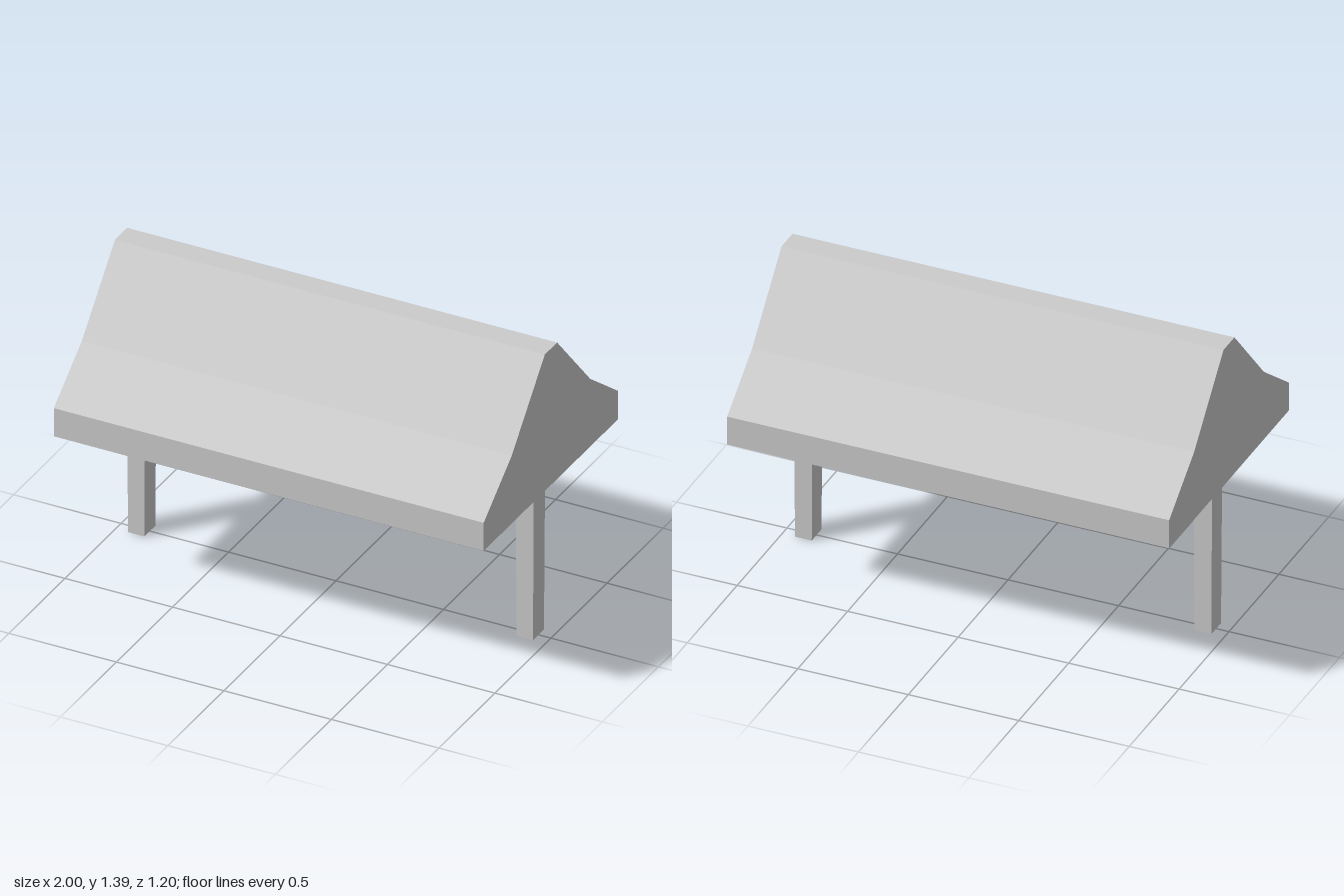
import * as THREE from 'three';

const material = new THREE.MeshStandardMaterial({ color: 0xcccccc, flatShading: true });

function addMesh(parent, name, geometry) {
  const mesh = new THREE.Mesh(geometry, material);
  mesh.name = name;
  parent.add(mesh);
  return mesh;
}

// Gabled skin, open at the bottom, from rows of [half depth, height]
function gableSkin(rows, halfLength, inward = false) {
  const pos = [];
  const quad = (a, b, c, d) => {
    const order = inward ? [a, c, b, a, d, c] : [a, b, c, a, c, d];
    order.forEach((p) => pos.push(...p));
  };
  const at = (sx, row, sz) => [sx * halfLength, row[1], sz * row[0]];
  for (let i = 0; i < rows.length - 1; i++) {
    const lo = rows[i], hi = rows[i + 1];
    for (const s of [1, -1]) {
      // sloping side, then gable end
      quad(at(-s, lo, s), at(s, lo, s), at(s, hi, s), at(-s, hi, s));
      quad(at(s, lo, s), at(s, lo, -s), at(s, hi, -s), at(s, hi, s));
    }
  }
  const top = rows[rows.length - 1];
  quad(at(-1, top, 1), at(1, top, 1), at(1, top, -1), at(-1, top, -1));
  const g = new THREE.BufferGeometry();
  g.setAttribute('position', new THREE.Float32BufferAttribute(pos, 3));
  g.computeVertexNormals();
  return g;
}

function rectangle(PathClass, x, z) {
  return new PathClass([[-x, -z], [x, -z], [x, z], [-x, z]].map((p) => new THREE.Vector2(...p)));
}

// Square post, slightly wider at the top
function taperedPost(height, bottom, top) {
  const g = new THREE.BoxGeometry(1, height, 1).translate(0, height / 2, 0);
  const p = g.attributes.position;
  for (let i = 0; i < p.count; i++) {
    const size = p.getY(i) > height / 2 ? top : bottom;
    p.setX(i, p.getX(i) * size[0]);
    p.setZ(i, p.getZ(i) * size[1]);
  }
  g.computeVertexNormals();
  return g;
}

export function createModel() {
  const model = new THREE.Group();
  model.name = 'roofedStand';
  const eaveY = 0.735;

  // Hollow roof: outer skin, inner skin and the rim joining them
  const roof = new THREE.Group();
  roof.name = 'roof';
  model.add(roof);
  addMesh(roof, 'roofOuter', gableSkin([[0.6, eaveY], [0.6, 0.87], [0.35, 1.06], [0.055, 1.39]], 1));
  addMesh(roof, 'roofInner', gableSkin([[0.55, eaveY], [0.55, 0.84], [0.32, 1.02], [0.03, 1.34]], 0.95, true));
  const rim = rectangle(THREE.Shape, 1, 0.6);
  rim.holes.push(rectangle(THREE.Path, 0.95, 0.55));
  addMesh(roof, 'roofRim', new THREE.ShapeGeometry(rim).rotateX(Math.PI / 2).translate(0, eaveY, 0));

  // Posts reach up inside the roof to the ridge
  for (const [name, side] of [['leftPost', 1], ['rightPost', -1]]) {
    addMesh(model, name, taperedPost(1.35, [0.076, 0.098], [0.092, 0.102])).position.x = side * 0.904;
  }

  // Rail between the posts
  addMesh(model, 'crossRail', new THREE.BoxGeometry(1.76, 0.04, 0.04)).position.y = 0.65;
  return model;
}
